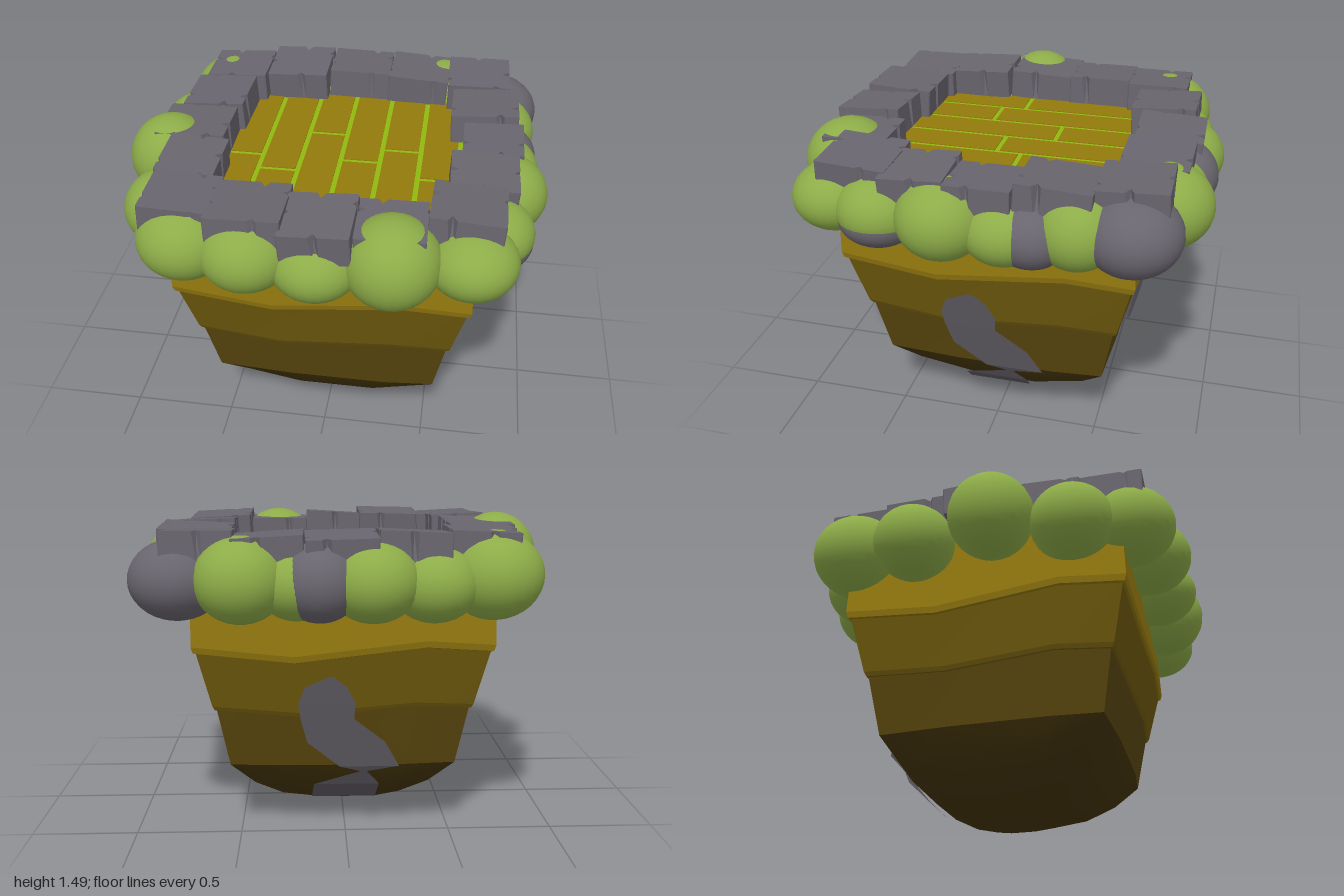
import * as THREE from 'three';
import { toCreasedNormals } from 'three/addons/utils/BufferGeometryUtils.js';

const paint = (color, extra = {}) => new THREE.MeshStandardMaterial({ color, ...extra });
const STONE = 0x69656e;

// Squarish 12-point ring: [half width, height, bulge of the sides, waviness of the edge]
function ring([h, y, bulge, wave]) {
  const side = [[-1, 0, 0], [-0.33, 1, -1], [0.55, 1, 0.5]];
  const pts = [];
  for (let k = 0; k < 4; k++) {
    for (const [t, b, w] of side) {
      let x = t * h, z = h + b * bulge;
      for (let i = 0; i < k; i++) [x, z] = [z, -x];
      pts.push(x + 0.012, y + w * wave, z);
    }
  }
  return pts;
}

// Skin through a stack of rings, listed from top to bottom
function loft(rings, crease) {
  const index = [];
  for (let r = 0; r < rings.length - 1; r++) {
    for (let j = 0; j < 12; j++) {
      const a = r * 12 + j, b = r * 12 + (j + 1) % 12, c = a + 12, d = b + 12;
      index.push(c, d, b, c, b, a);
    }
  }
  const geo = new THREE.BufferGeometry();
  geo.setAttribute('position', new THREE.Float32BufferAttribute(rings.flatMap(ring), 3));
  geo.setIndex(index);
  return toCreasedNormals(geo, crease);
}

// Square slab whose edges carry V-shaped chips that taper out at the underside
function stoneGeometry(w, d, h, seed) {
  const chip = (k) => Math.abs(Math.sin(seed * 12.9 + k * 7.3));
  const pts = [];
  for (let k = 0; k < 4; k++) {
    const at = (chip(k) - 0.5) * 1.1, depth = 0.05 + 0.2 * chip(k + 5);
    const local = [[-0.97, -1], [at - 0.13, -1], [at, -1 + depth], [at + 0.13, -1], [0.97, -1]];
    for (let [x, y] of local) {
      for (let i = 0; i < k; i++) [x, y] = [-y, x];
      pts.push(new THREE.Vector2(x * w / 2, y * d / 2));
    }
  }
  const geo = new THREE.ExtrudeGeometry(new THREE.Shape(pts), { depth: h, bevelEnabled: false });
  const p = geo.attributes.position;
  for (let i = 0; i < p.count; i++) {
    if (p.getZ(i) > h / 2) continue;
    const u = p.getX(i) / w * 2, v = p.getY(i) / d * 2;
    if (Math.max(Math.abs(u), Math.abs(v)) > 0.99) continue;
    if (Math.abs(u) > Math.abs(v)) p.setX(i, Math.sign(u) * w / 2);
    else p.setY(i, Math.sign(v) * d / 2);
  }
  geo.rotateX(-Math.PI / 2);
  geo.computeVertexNormals();
  return geo;
}

export function createModel() {
  const model = new THREE.Group();
  const add = (name, geo, mat, parent = model) => {
    const mesh = new THREE.Mesh(geo, mat);
    mesh.name = name;
    parent.add(mesh);
    return mesh;
  };
  const group = (name) => {
    const g = new THREE.Group();
    g.name = name;
    model.add(g);
    return g;
  };

  // Earth layers, each stepping in below the one above
  const layers = [
    ['upperEarth', 0x94790f, [[0.67, 1.31, 0.01, 0], [0.68, 0.95, 0.015, 0.045], [0.672, 0.92, 0.015, 0.045], [0.64, 0.91, 0.015, 0.045]]],
    ['middleEarth', 0x6f5a0d, [[0.662, 0.925, 0.015, 0.045], [0.6, 0.655, 0.02, 0.03], [0.59, 0.635, 0.02, 0.03], [0.56, 0.63, 0.02, 0.03]]],
    ['lowerEarth', 0x58460e, [[0.583, 0.64, 0.02, 0.03], [0.53, 0.35, 0.02, 0]]],
  ];
  for (const [name, color, rings] of layers) add(name, loft(rings, 0.2), paint(color));
  const tip = [[0.53, 0.35, 0.02, 0], [0.42, 0.22, 0.05, 0], [0.29, 0.115, 0.06, 0], [0.14, 0.045, 0.03, 0], [0, 0, 0, 0]];
  add('earthTip', loft(tip, 0.7), paint(0x443409));

  // Rocky patches hugging the earth: rows of [height, start, end] across a side
  const rows = [[0.81, -0.08, -0.06], [0.76, -0.19, 0], [0.68, -0.22, 0.04], [0.6, -0.21, 0.035], [0.48, -0.18, 0.18],
    [0.35, -0.03, 0.25], [0.32, 0.07, 0.1], [0.24, -0.15, 0.16], [0.14, -0.16, 0.15]];
  const profile = [[0.14, 0.4], [0.22, 0.488], [0.35, 0.565], [0.64, 0.635], [0.81, 0.67]];
  const reach = (y) => {
    const i = Math.max(1, profile.findIndex((q) => q[0] >= y));
    const [[y0, r0], [y1, r1]] = [profile[i - 1], profile[i]];
    return r0 + (r1 - r0) * (y - y0) / (y1 - y0);
  };
  const patchPos = [], patchIndex = [];
  rows.forEach(([y, a, b], i) => {
    patchPos.push(a, y, reach(y), b, y, reach(y));
    if (i) patchIndex.push(2 * i, 2 * i + 1, 2 * i - 1, 2 * i, 2 * i - 1, 2 * i - 2);
  });
  const patchGeo = new THREE.BufferGeometry();
  patchGeo.setAttribute('position', new THREE.Float32BufferAttribute(patchPos, 3));
  patchGeo.setIndex(patchIndex);
  patchGeo.computeVertexNormals();
  const patchMat = paint(0x5e5a62, { side: THREE.DoubleSide, flatShading: true });
  const sidePatch = add('rockPatchSide', patchGeo, patchMat);
  sidePatch.rotation.y = Math.PI / 2;
  sidePatch.position.x = 0.018;
  const backPatch = add('rockPatchBack', patchGeo, patchMat);
  backPatch.rotation.y = Math.PI;
  backPatch.position.z = -0.012;

  // Floor: bright bed with planks laid over it in staggered columns
  const floor = group('floor');
  add('floorBed', new THREE.BoxGeometry(1.33, 0.1, 1.33), paint(0x90b80f), floor).position.set(0.012, 1.262, 0);
  const plankMat = paint(0x947a0c);
  [0.05, 0.07, 0.19, -0.17, 0.07, -0.05, 0.19].forEach((split, i) => {
    for (const [z0, z1] of [[-0.65, split - 0.012], [split + 0.012, 0.65]]) {
      const plank = add('plank', new THREE.BoxGeometry(0.163, 0.02, z1 - z0), plankMat, floor);
      plank.position.set(-0.634 + 0.187 * i, 1.306, (z0 + z1) / 2);
    }
  });

  // Bushes around the rim: [x, y, z, radius, height radius]
  const bushes = group('bushes');
  const leaf = paint(0x8dac48), rock = paint(STONE);
  const ball = (name, mat, [x, y, z, r, ry = r]) => {
    const m = add(name, new THREE.SphereGeometry(r, 28, 18), mat, bushes);
    m.position.set(x, y, z);
    m.scale.y = ry / r;
  };
  [
    [-0.57, 1.26, 0.7, 0.215, 0.18], [-0.29, 1.255, 0.75, 0.21, 0.175], [0.01, 1.22, 0.755, 0.2, 0.155],
    [0.335, 1.257, 0.75, 0.215, 0.205], [0.67, 1.24, 0.68, 0.2, 0.155], [0.74, 1.235, 0.45, 0.195, 0.16],
    [0.79, 1.25, 0.15, 0.205, 0.185], [0.77, 1.22, -0.12, 0.19, 0.155], [0.75, 1.25, -0.43, 0.19, 0.18],
    [0.46, 1.26, -0.77, 0.205, 0.19], [0.22, 1.24, -0.75, 0.18, 0.16], [-0.11, 1.25, -0.77, 0.205, 0.18],
    [-0.38, 1.23, -0.71, 0.2, 0.17], [-0.65, 1.26, -0.64, 0.225, 0.2], [-0.76, 1.22, -0.31, 0.195, 0.18],
    [-0.795, 1.28, 0.08, 0.205, 0.205], [-0.72, 1.23, 0.45, 0.2, 0.18],
  ].forEach((b) => ball('bush', leaf, b));
  // Boulders showing among the leaves
  [
    [0.74, 1.25, -0.66, 0.215, 0.18], [0.77, 1.22, -0.24, 0.18, 0.155], [0.12, 1.25, -0.78, 0.185, 0.175],
    [0.745, 1.2, 0.45, 0.187, 0.13],
  ].forEach((b) => ball('boulder', rock, b));

  // Ring of chipped paving stones: [x0, x1, z0, z1, top height]
  const stones = group('rimStones');
  const stoneMat = paint(STONE, { flatShading: true });
  [
    [-0.745, -0.44, -0.75, -0.45, 1.46], [-0.44, -0.13, -0.83, -0.52, 1.46], [-0.13, 0.18, -0.875, -0.565, 1.45],
    [0.18, 0.485, -0.855, -0.55, 1.45], [0.49, 0.8, -0.81, -0.505, 1.465], [0.53, 0.855, -0.5, -0.17, 1.455],
    [0.595, 0.875, -0.17, 0.12, 1.435], [0.54, 0.845, 0.12, 0.41, 1.44], [0.47, 0.79, 0.4, 0.72, 1.45],
    [0.175, 0.475, 0.53, 0.83, 1.42], [-0.125, 0.18, 0.56, 0.87, 1.445], [-0.445, -0.12, 0.52, 0.845, 1.455],
    [-0.75, -0.44, 0.49, 0.785, 1.45], [-0.76, -0.49, 0.19, 0.49, 1.46], [-0.845, -0.515, -0.14, 0.19, 1.45],
    [-0.785, -0.485, -0.45, -0.14, 1.455],
  ].forEach(([x0, x1, z0, z1, top], i) => {
    const stone = add('rimStone', stoneGeometry(x1 - x0, z1 - z0, 0.14, i + 1), stoneMat, stones);
    stone.position.set((x0 + x1) / 2, top - 0.14, (z0 + z1) / 2);
    stone.rotation.set(Math.sin(i * 2.1) * 0.06, Math.sin(i * 3.7) * 0.02, Math.sin(i * 1.3 + 1) * 0.06);
  });

  return model;
}
